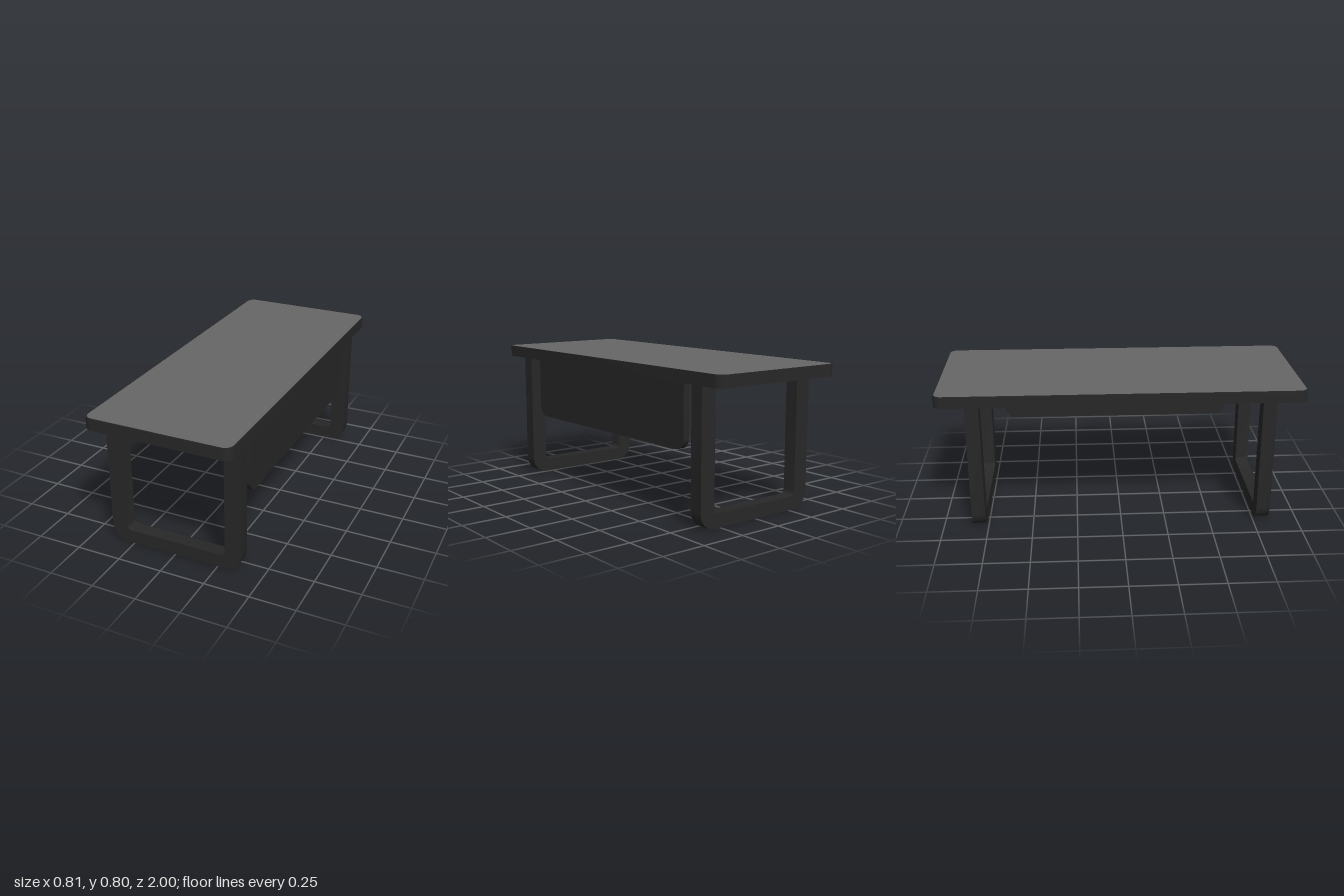
import * as THREE from 'three';
import { toCreasedNormals } from 'three/addons/utils/BufferGeometryUtils.js';

const frameMat = new THREE.MeshStandardMaterial({ color: 0x282828 });
frameMat.name = 'charcoal frame';
const topMat = new THREE.MeshStandardMaterial({ color: 0x676767 });
topMat.name = 'grey desktop';

// Rectangle centred on x = 0 with separate radii for the lower and upper corners
function roundedRect(w, y0, y1, rLow, rHigh) {
  const s = new THREE.Shape();
  s.moveTo(rLow - w, y0);
  s.lineTo(w - rLow, y0);
  if (rLow) s.absarc(w - rLow, y0 + rLow, rLow, -Math.PI / 2, 0);
  s.lineTo(w, y1 - rHigh);
  if (rHigh) s.absarc(w - rHigh, y1 - rHigh, rHigh, 0, Math.PI / 2);
  s.lineTo(rHigh - w, y1);
  if (rHigh) s.absarc(rHigh - w, y1 - rHigh, rHigh, Math.PI / 2, Math.PI);
  s.lineTo(-w, y0 + rLow);
  if (rLow) s.absarc(rLow - w, y0 + rLow, rLow, Math.PI, Math.PI * 1.5);
  return s;
}

function extrude(shape, depth, curveSegments) {
  const g = new THREE.ExtrudeGeometry(shape, { depth, curveSegments, bevelEnabled: false });
  return toCreasedNormals(g, 0.6);
}

function addMesh(parent, name, geometry, material) {
  const m = new THREE.Mesh(geometry, material);
  m.name = name;
  parent.add(m);
  return m;
}

export function createModel() {
  const desk = new THREE.Group();
  desk.name = 'desk';

  // Grey board, visible from above and below, framed by a thin charcoal edge band
  const inner = roundedRect(0.398, -0.993, 0.993, 0.043, 0.043);
  const board = extrude(inner, 0.065, 8);
  board.rotateX(-Math.PI / 2).translate(0, 0.733, 0);
  addMesh(desk, 'desktopBoard', board, topMat);

  const bandShape = roundedRect(0.405, -1, 1, 0.05, 0.05);
  bandShape.holes.push(inner);
  const band = extrude(bandShape, 0.065, 8);
  band.rotateX(-Math.PI / 2).translate(0, 0.733, 0);
  addMesh(desk, 'desktopEdgeBand', band, frameMat);

  // U-shaped leg frames: rounded outside corners, tighter inside corners
  const leg = new THREE.Shape();
  leg.moveTo(-0.38, 0.733);
  leg.lineTo(-0.38, 0.09);
  leg.absarc(-0.29, 0.09, 0.09, Math.PI, Math.PI * 1.5);
  leg.lineTo(0.29, 0);
  leg.absarc(0.29, 0.09, 0.09, -Math.PI / 2, 0);
  leg.lineTo(0.38, 0.733);
  leg.lineTo(0.29, 0.733);
  leg.lineTo(0.29, 0.096);
  leg.absarc(0.27, 0.096, 0.02, 0, -Math.PI / 2, true);
  leg.lineTo(-0.27, 0.076);
  leg.absarc(-0.27, 0.096, 0.02, -Math.PI / 2, -Math.PI, true);
  leg.lineTo(-0.29, 0.733);
  const legGeometry = extrude(leg, 0.076, 2);
  legGeometry.translate(0, 0, -0.038);
  for (const [name, z] of [['frontLeg', 0.8], ['backLeg', -0.8]]) {
    addMesh(desk, name, legGeometry, frameMat).position.z = z;
  }

  // Modesty panel hanging below the +x edge, between the legs
  const panel = extrude(roundedRect(0.685, 0.382, 0.733, 0.065, 0), 0.037, 8);
  panel.rotateY(Math.PI / 2).translate(0.327, 0, 0);
  addMesh(desk, 'modestyPanel', panel, frameMat);

  return desk;
}
